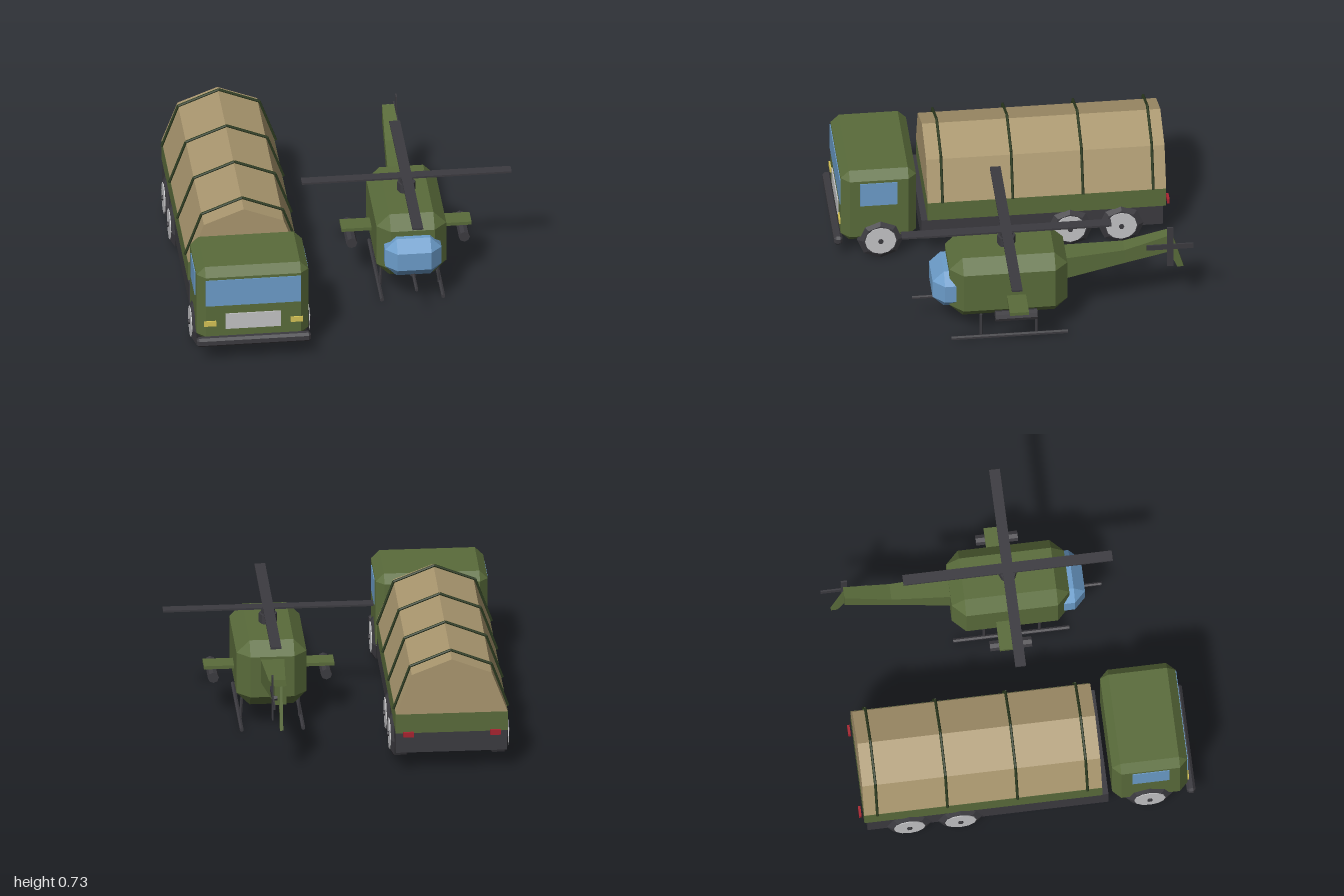
import * as THREE from 'three';
import { ConvexGeometry } from 'three/addons/geometries/ConvexGeometry.js';

const mat = (name, color) => {
  const m = new THREE.MeshStandardMaterial({ color });
  m.name = name;
  return m;
};

// Faceted normals for low-poly parts
function facet(geo) {
  const g = geo.index ? geo.toNonIndexed() : geo;
  g.computeVertexNormals();
  return g;
}

// Box with all edges cut by c
function chamferBox(w, h, d, c) {
  const pts = [];
  for (const sx of [-1, 1]) for (const sy of [-1, 1]) for (const sz of [-1, 1]) {
    const x = w / 2, y = h / 2, z = d / 2;
    pts.push(
      new THREE.Vector3(sx * x, sy * (y - c), sz * (z - c)),
      new THREE.Vector3(sx * (x - c), sy * y, sz * (z - c)),
      new THREE.Vector3(sx * (x - c), sy * (y - c), sz * z));
  }
  return new ConvexGeometry(pts);
}

const box = (w, h, d) => new THREE.BoxGeometry(w, h, d);
const cyl = (r, len, sides = 8) => facet(new THREE.CylinderGeometry(r, r, len, sides));

export function createModel() {
  const green = mat('olive green', 0x5a6c3b);
  const darkGreen = mat('strap green', 0x2c3a20);
  const tan = mat('canvas tan', 0xaa976f);
  const dark = mat('dark grey', 0x3c3b40);
  const glass = mat('window blue', 0x6c9dca);
  const light = mat('light grey', 0xc4c4c6);
  const yellow = mat('headlight yellow', 0xd6c356);
  const red = mat('tail light red', 0xa82430);

  const add = (parent, name, geo, material, x = 0, y = 0, z = 0) => {
    const m = new THREE.Mesh(geo, material);
    m.name = name;
    m.position.set(x, y, z);
    parent.add(m);
    return m;
  };
  const group = (parent, name, x = 0) => {
    const g = new THREE.Group();
    g.name = name;
    g.position.x = x;
    parent.add(g);
    return g;
  };
  // Straight rod between two points
  const rod = (parent, name, a, b, r, material, sides = 6) => {
    const p = new THREE.Vector3(...a), q = new THREE.Vector3(...b);
    const m = add(parent, name, cyl(r, p.distanceTo(q), sides), material);
    m.position.copy(p).add(q).multiplyScalar(0.5);
    m.quaternion.setFromUnitVectors(new THREE.Vector3(0, 1, 0), q.sub(p).normalize());
    return m;
  };

  const root = new THREE.Group();
  root.name = 'truckAndHelicopter';

  // ---------- Truck ----------
  const truck = group(root, 'truck', -0.62);
  add(truck, 'cab', chamferBox(0.645, 0.485, 0.435, 0.048), green, 0, 0.357, 0.74);
  add(truck, 'bumper', chamferBox(0.66, 0.055, 0.05, 0.014), dark, 0, 0.14, 0.975);
  add(truck, 'windshield', box(0.55, 0.17, 0.008), glass, 0, 0.45, 0.958);
  add(truck, 'grille', box(0.32, 0.1, 0.008), light, 0, 0.26, 0.96);
  add(truck, 'chassis', box(0.64, 0.13, 1.393), dark, 0, 0.183, -0.2);
  add(truck, 'cargoBed', box(0.645, 0.12, 1.375), green, 0, 0.307, -0.227);

  // Canvas cover, a gabled section run along the bed
  const cover = new THREE.Shape([[-0.322, 0.365], [0.322, 0.365], [0.23, 0.61],
    [0, 0.70], [-0.23, 0.61]].map(p => new THREE.Vector2(...p)));
  add(truck, 'canvasCover',
    new THREE.ExtrudeGeometry(cover, { depth: 1.375, bevelEnabled: false }), tan, 0, 0, -0.915);

  // Bows over the canvas
  const bow = [[-0.33, 0.37], [-0.235, 0.633], [0, 0.727], [0.235, 0.633], [0.33, 0.37]];
  for (const z of [0.375, -0.03, -0.435, -0.84])
    for (let i = 0; i < 4; i++)
      rod(truck, 'canvasBow', [...bow[i], z], [...bow[i + 1], z], 0.008, darkGreen);

  // Wheels, lights and side windows, mirrored
  const tire = facet(new THREE.LatheGeometry([[0, -0.055], [0.1, -0.055], [0.134, -0.035],
    [0.134, 0.035], [0.1, 0.055], [0, 0.055]].map(p => new THREE.Vector2(...p)), 8));
  for (const s of [-1, 1]) {
    add(truck, 'sideWindow', box(0.008, 0.155, 0.215), glass, s * 0.323, 0.457, 0.742);
    add(truck, 'headlight', box(0.07, 0.032, 0.009), yellow, s * 0.25, 0.25, 0.963);
    add(truck, 'tailLight', box(0.06, 0.03, 0.014), red, s * 0.25, 0.245, -0.932);
    for (const z of [0.733, -0.36, -0.655]) {
      const wheel = group(truck, 'wheel', s * 0.282);
      wheel.position.y = 0.136;
      wheel.position.z = z;
      wheel.rotation.z = -s * Math.PI / 2;
      add(wheel, 'tire', tire, dark);
      add(wheel, 'hubcap', cyl(0.09, 0.008, 12), light, 0, 0.056, 0);
      add(wheel, 'axleNut', cyl(0.015, 0.016, 6), dark, 0, 0.062, 0);
    }
  }

  // ---------- Helicopter ----------
  const heli = group(root, 'helicopter', 0.36);
  add(heli, 'fuselage', chamferBox(0.403, 0.4, 0.68, 0.075), green, 0, 0.34, 0.078);
  add(heli, 'cockpitGlass', chamferBox(0.325, 0.24, 0.25, 0.065), glass, 0, 0.313, 0.387);

  // Tail boom, tapering and rising to the rear: [z, bottom, top, half width]
  const sections = { '0.5': [-0.22, 0.30, 0.448, 0.07], '0': [-0.6, 0.377, 0.467, 0.048],
    '-0.5': [-0.87, 0.43, 0.545, 0.034] };
  const boom = new THREE.BoxGeometry(1, 1, 1, 1, 1, 2);
  const pos = boom.attributes.position;
  for (let i = 0; i < pos.count; i++) {
    const [z, low, high, half] = sections[String(pos.getZ(i) + 0)];
    pos.setXYZ(i, Math.sign(pos.getX(i)) * half, pos.getY(i) > 0 ? high : low, z);
  }
  add(heli, 'tailBoom', facet(boom), green);

  // Tail fin, shape drawn in (-z, y)
  const fin = new THREE.Shape([[0.85, 0.44], [0.908, 0.30], [0.945, 0.30], [0.875, 0.545],
    [0.85, 0.53]].map(p => new THREE.Vector2(...p)));
  const finMesh = add(heli, 'tailFin',
    new THREE.ExtrudeGeometry(fin, { depth: 0.018, bevelEnabled: false }), green, -0.009);
  finMesh.rotation.y = Math.PI / 2;

  // Tail rotor
  rod(heli, 'tailRotorHub', [0.02, 0.472, -0.863], [0.05, 0.472, -0.863], 0.015, dark);
  add(heli, 'tailRotorBlade', box(0.009, 0.27, 0.036), dark, 0.046, 0.472, -0.863);
  add(heli, 'tailRotorBlade', box(0.009, 0.033, 0.27), dark, 0.046, 0.472, -0.863);

  // Main rotor
  add(heli, 'rotorBase', cyl(0.053, 0.06), dark, 0, 0.565, 0.077);
  add(heli, 'rotorMast', cyl(0.04, 0.05), dark, 0, 0.613, 0.077);
  add(heli, 'mainRotorBlade', box(1.21, 0.011, 0.062), dark, 0, 0.634, 0.077);
  add(heli, 'mainRotorBlade', box(0.062, 0.011, 1.21), dark, 0, 0.634, 0.077);

  // Stub wings, pods and nose gun
  add(heli, 'stubWing', box(0.75, 0.02, 0.11), green, 0, 0.301, 0.04);
  rod(heli, 'noseGun', [0, 0.19, 0.3], [0, 0.19, 0.62], 0.01, dark);
  add(heli, 'gunMount', chamferBox(0.035, 0.04, 0.06, 0.01), dark, 0, 0.193, 0.425);
  for (const s of [-1, 1]) {
    rod(heli, 'weaponPod', [s * 0.325, 0.26, -0.067], [s * 0.325, 0.26, 0.175], 0.032, dark, 8);
    rod(heli, 'skid', [s * 0.177, 0.013, -0.26], [s * 0.177, 0.013, 0.412], 0.012, dark);
    for (const z of [0.24, -0.08])
      rod(heli, 'skidLeg', [s * 0.162, 0.16, z], [s * 0.17, 0.012, z], 0.009, dark);
  }
  return root;
}
